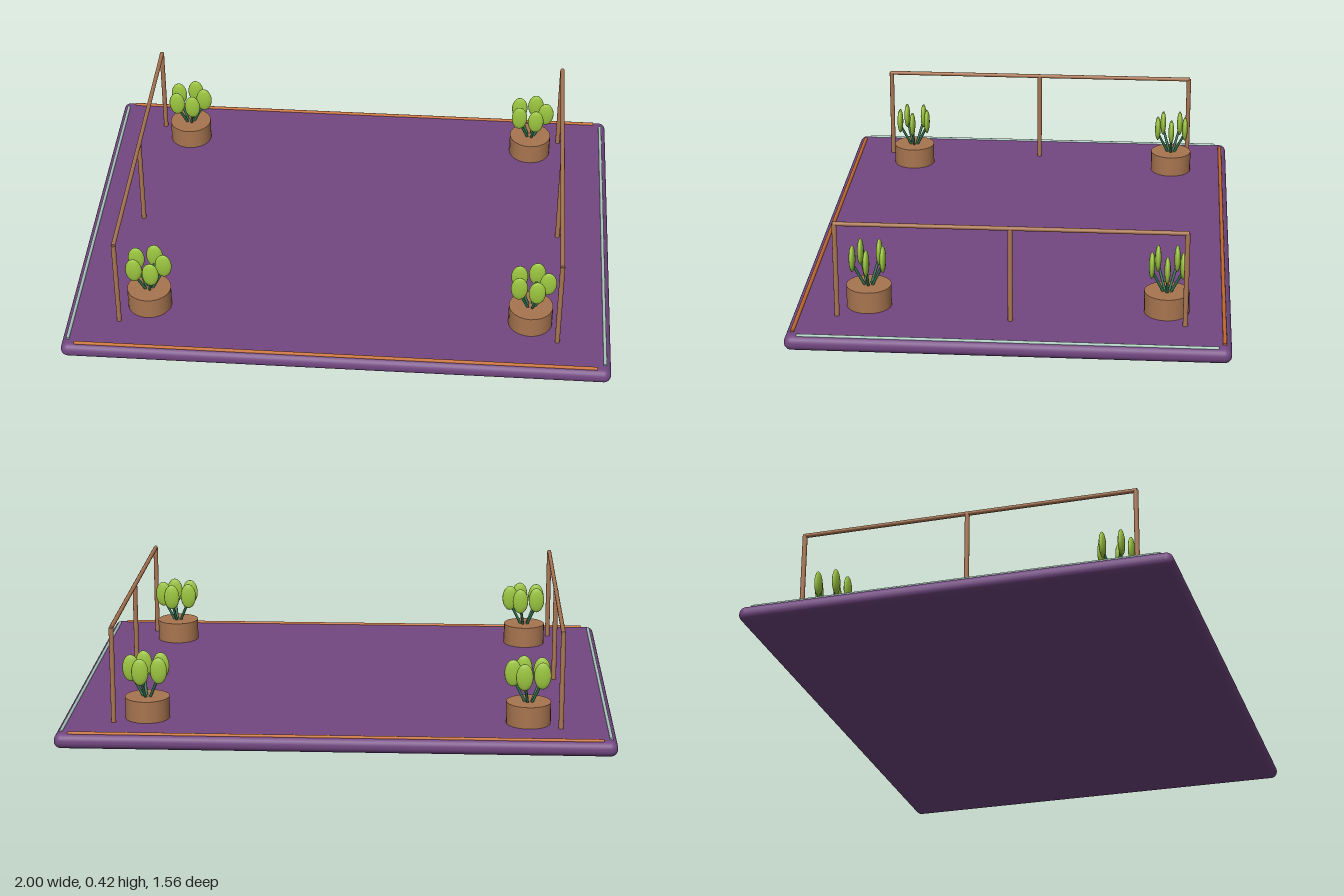
import * as THREE from 'three';
import { RoundedBoxGeometry } from 'three/addons/geometries/RoundedBoxGeometry.js';

const material = (name, color) => {
  const m = new THREE.MeshStandardMaterial({ color });
  m.name = name;
  return m;
};

const TOP = 0.055; // deck surface height

export function createModel() {
  const purple = material('purple deck', 0x734882);
  const wood = material('brown wood', 0xa97552);
  const clay = material('brown clay', 0xa87550);
  const orange = material('orange trim', 0xc26a2a);
  const mint = material('pale mint trim', 0xa9c8bc);
  const stemGreen = material('stem green', 0x2f6b4a);
  const leafGreen = material('leaf green', 0x9cc640);

  const model = new THREE.Group();
  model.name = 'terrace';

  const add = (parent, name, geometry, mat, x = 0, y = 0, z = 0) => {
    const mesh = new THREE.Mesh(geometry, mat);
    mesh.name = name;
    mesh.position.set(x, y, z);
    parent.add(mesh);
    return mesh;
  };

  // Round bar between two points
  const bar = (parent, name, a, b, radius, mat) => {
    const from = new THREE.Vector3(...a), to = new THREE.Vector3(...b);
    const dir = to.clone().sub(from);
    const mesh = add(parent, name, new THREE.CylinderGeometry(radius, radius, dir.length(), 12), mat);
    mesh.position.copy(from).add(to).multiplyScalar(0.5);
    mesh.quaternion.setFromUnitVectors(new THREE.Vector3(0, 1, 0), dir.normalize());
    return mesh;
  };

  // Deck with softly rounded edges
  add(model, 'deck', new RoundedBoxGeometry(2, TOP, 1.56, 5, 0.026), purple, 0, TOP / 2, 0);

  // Edge trims and railings, mirrored
  for (const s of [-1, 1]) {
    bar(model, 'orangeTrim', [-0.95, TOP, s * 0.755], [0.95, TOP, s * 0.755], 0.007, orange);
    bar(model, 'mintTrim', [s * 0.978, TOP, -0.735], [s * 0.978, TOP, 0.735], 0.006, mint);

    const railing = new THREE.Group();
    railing.name = s > 0 ? 'leftRailing' : 'rightRailing';
    const x = s * 0.805;
    for (const z of [-0.617, 0, 0.617]) {
      bar(railing, 'post', [x, TOP - 0.005, z], [x, 0.408, z], 0.009, wood);
    }
    bar(railing, 'handrail', [x, 0.408, -0.622], [x, 0.408, 0.622], 0.008, wood);
    model.add(railing);
  }

  // Potted plant: pot, five leaning stems, flat oval leaves
  const potGeometry = new THREE.CylinderGeometry(0.081, 0.081, 0.08, 24);
  const leafGeometry = new THREE.SphereGeometry(1, 16, 12).scale(0.031, 0.05, 0.0115);
  const makePlant = (x, z) => {
    const plant = new THREE.Group();
    plant.name = 'pottedPlant';
    plant.position.set(x, TOP, z);
    add(plant, 'pot', potGeometry, clay, 0, 0.04, 0);
    for (let i = 0; i < 5; i++) {
      const a = (i / 5) * Math.PI * 2;
      const c = Math.cos(a), s = Math.sin(a);
      bar(plant, 'stem', [c * 0.01, 0.07, s * 0.01], [c * 0.058, 0.165, s * 0.058], 0.005, stemGreen);
      add(plant, 'leaf', leafGeometry, leafGreen, c * 0.058, 0.185, s * 0.058);
    }
    model.add(plant);
  };
  for (const s of [-1, 1]) {
    makePlant(s * 0.69, -0.55);
    makePlant(s * 0.705, 0.515);
  }

  return model;
}
